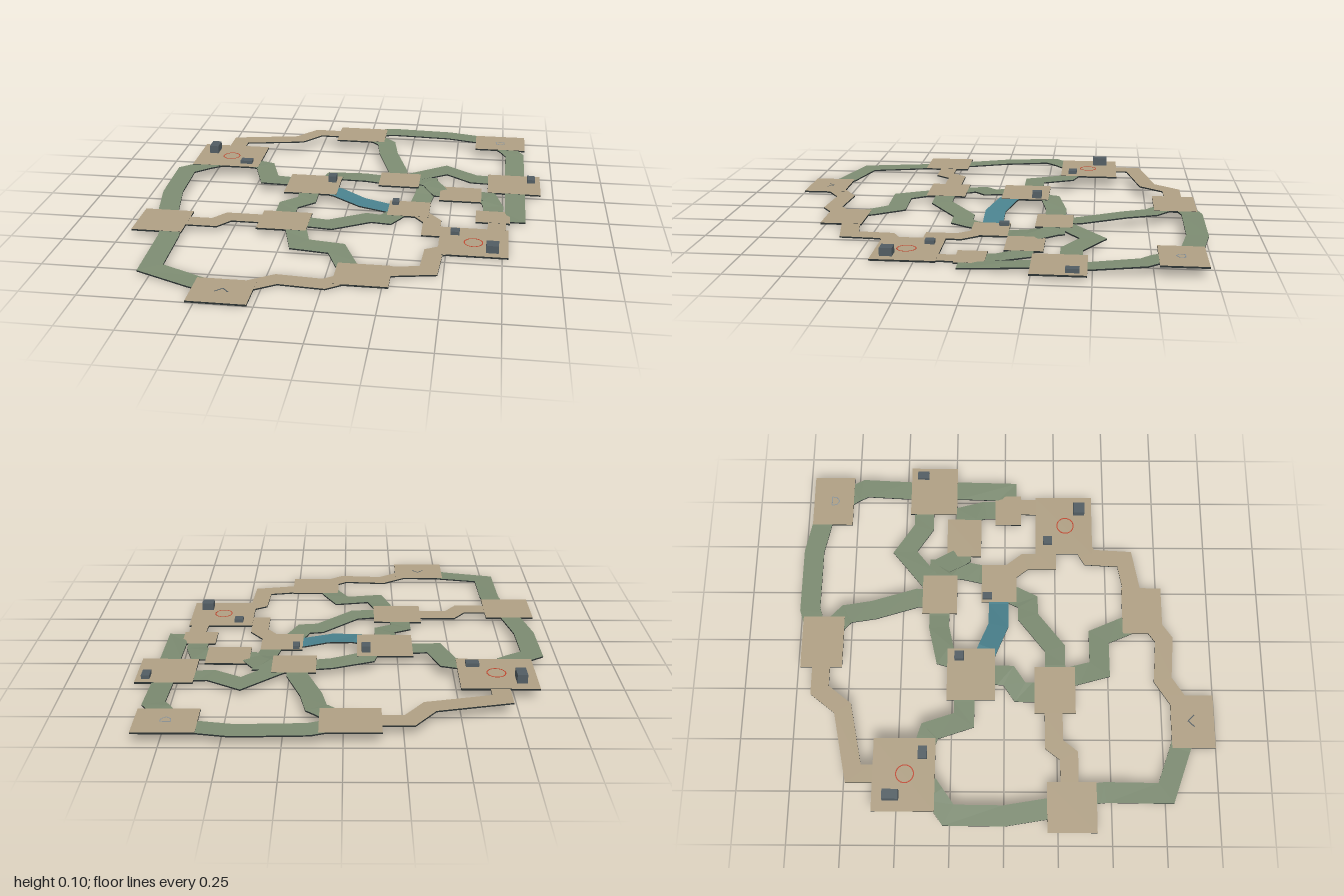
import * as THREE from 'three';

const mat = (name, color) => {
  const m = new THREE.MeshStandardMaterial({ color });
  m.name = name;
  return m;
};

export function createModel() {
  const model = new THREE.Group();
  const tan = mat('sand floor', 0xb0a084);
  const green = mat('ramp green', 0x7d8c72);
  const teal = mat('water teal', 0x4a828e);
  const trim = mat('dark edge', 0x2b3232);
  const slate = mat('crate slate', 0x525d63);
  const red = mat('marker red', 0xc0472f);
  const pale = mat('marker grey', 0x8f9698);
  const T = 0.008; // slab thickness
  const clamp = THREE.MathUtils.clamp;

  const add = (name, geometry, material, parent = model) => {
    const mesh = new THREE.Mesh(geometry, material);
    mesh.name = name;
    parent.add(mesh);
    return mesh;
  };

  // Platforms: x0, x1, z0, z1, top height
  const rooms = {};
  function platform(name, x0, x1, z0, z1, y) {
    rooms[name] = { x0, x1, z0, z1, y };
    const g = new THREE.BoxGeometry(x1 - x0, T, z1 - z0);
    g.translate((x0 + x1) / 2, y - T / 2, (z0 + z1) / 2);
    add(name + 'Platform', g, [trim, trim, tan, tan, trim, trim]);
  }
  platform('back', -0.16, 0.1, -0.98, -0.78, 0.062);
  platform('backCorner', 0.6, 0.865, -0.97, -0.77, 0.053);
  platform('siteWest', -0.855, -0.51, -0.61, -0.32, 0.065);
  platform('midWest', -0.32, -0.06, -0.275, -0.045, 0.056);
  platform('midNorth', 0.127, 0.33, -0.405, -0.235, 0.037);
  platform('east', 0.675, 0.937, -0.48, -0.245, 0.024);
  platform('midEast', 0.44, 0.645, -0.29, -0.12, 0.024);
  platform('center', 0.2, 0.4, -0.115, 0.058, 0.01);
  platform('eastLink', 0.623, 0.785, -0.05, 0.08, 0.01);
  platform('siteEast', 0.463, 0.778, 0.155, 0.44, 0.01);
  platform('west', -0.945, -0.71, 0.2, 0.43, 0.038);
  platform('midSouth', -0.38, -0.147, 0.145, 0.34, 0.038);
  platform('south', 0.037, 0.278, 0.58, 0.775, 0.009);
  platform('front', -0.537, -0.278, 0.795, 1.0, 0.009);

  // Mitred ribbon slab along a path; level inside both platforms, sloped between
  function ribbon(path, yA, yB, width) {
    const level = 0.07;
    const seg = path.slice(1).map((p, i) => p.distanceTo(path[i]));
    const total = seg.reduce((a, b) => a + b, 0);
    const pts = [];
    let run = 0;
    path.forEach((p, i) => {
      pts.push({ p, run });
      if (i === seg.length) return;
      for (const d of [level, total - level]) {
        const f = (d - run) / seg[i];
        if (f > 0.02 && f < 0.98) pts.push({ p: p.clone().lerp(path[i + 1], f), run: d });
      }
      run += seg[i];
    });
    const last = pts.length - 1;
    const normal = (a, b) => new THREE.Vector2(b.p.y - a.p.y, a.p.x - b.p.x).normalize();
    const sections = pts.map(({ p, run: along }, i) => {
      const n0 = normal(pts[Math.max(i - 1, 0)], pts[Math.max(i, 1)]);
      const n1 = normal(pts[Math.min(i, last - 1)], pts[Math.min(i + 1, last)]);
      const m = n0.clone().add(n1).normalize();
      m.multiplyScalar(width / 2 / Math.max(m.dot(n1), 0.7));
      const t = clamp((along - level) / (total - 2 * level), 0, 1);
      const y = yA + (yB - yA) * t - 0.0006;
      const low = y - T + 0.0012;
      const at = (s, h) => [p.x + m.x * s, h, p.y + m.y * s];
      return [at(-1, y), at(1, y), at(1, low), at(-1, low)];
    });
    const pos = [];
    const quad = (a, b, c, d) => pos.push(...a, ...b, ...c, ...a, ...c, ...d);
    const sweep = (k) => {
      const j = (k + 1) % 4;
      for (let i = 0; i < last; i++) {
        quad(sections[i][k], sections[i + 1][k], sections[i + 1][j], sections[i][j]);
      }
    };
    sweep(0);
    sweep(2);
    const split = pos.length / 3;
    sweep(1);
    sweep(3);
    quad(...sections[0]);
    quad(...sections[last].slice().reverse());
    const g = new THREE.BufferGeometry();
    g.setAttribute('position', new THREE.Float32BufferAttribute(pos, 3));
    g.addGroup(0, split, 0);
    g.addGroup(split, pos.length / 3 - split, 1);
    g.computeVertexNormals();
    return g;
  }

  // A path runs through its bends (x, z) and ends just inside each platform
  function connect(a, b, surface, ...bends) {
    const [A, B] = [rooms[a], rooms[b]];
    const line = bends.map(([x, z]) => new THREE.Vector2(x, z));
    const inside = (r, p) => new THREE.Vector2(
      clamp(p.x, r.x0 + 0.06, r.x1 - 0.06), clamp(p.y, r.z0 + 0.06, r.z1 - 0.06));
    const path = [inside(A, line[0]), ...line, inside(B, line[line.length - 1])];
    const width = surface === tan ? 0.085 : 0.097;
    add(`${a}To${b[0].toUpperCase()}${b.slice(1)}Path`, ribbon(path, A.y, B.y, width), [surface, trim]);
  }
  // Level walkways
  connect('back', 'siteWest', tan, [-0.275, -0.88], [-0.365, -0.765], [-0.68, -0.7]);
  connect('west', 'midSouth', tan, [-0.585, 0.305], [-0.53, 0.235]);
  connect('front', 'south', tan, [-0.2, 0.765], [0.005, 0.78]);
  connect('south', 'siteEast', tan, [0.435, 0.6], [0.445, 0.425]);
  connect('siteEast', 'center', tan, [0.42, 0.215], [0.42, 0.1]);
  connect('eastLink', 'siteEast', tan, [0.725, 0.12]);
  // Outer ramps
  connect('back', 'backCorner', green, [0.14, -0.952], [0.45, -0.952]);
  connect('back', 'midNorth', green, [0.115, -0.77], [0.14, -0.64], [0.21, -0.43]);
  connect('backCorner', 'east', green, [0.76, -0.79], [0.81, -0.71]);
  connect('siteWest', 'midWest', green, [-0.475, -0.35], [-0.42, -0.19]);
  connect('siteWest', 'west', green, [-0.75, -0.34], [-0.87, -0.255], [-0.87, 0], [-0.835, 0.2]);
  connect('west', 'front', green, [-0.757, 0.47], [-0.757, 0.755]);
  // Inner ramps
  connect('midWest', 'midSouth', green, [-0.195, 0.02], [-0.275, 0.075]);
  connect('midWest', 'midNorth', green, [-0.1, -0.285], [0.055, -0.32]);
  connect('midSouth', 'center', green, [-0.05, 0.245], [0.12, 0.115], [0.2, 0.115]);
  connect('midSouth', 'south', green, [-0.155, 0.46], [0.015, 0.46]);
  connect('midEast', 'eastLink', green, [0.675, -0.2], [0.705, -0.1]);
  connect('east', 'eastLink', green, [0.81, 0.01]);
  connect('midNorth', 'east', green, [0.46, -0.5], [0.6, -0.41]);
  connect('midNorth', 'center', green, [0.37, -0.325], [0.365, -0.2]);
  connect('midNorth', 'midEast', green, [0.38, -0.32], [0.44, -0.22]);
  // Water channel
  connect('midWest', 'center', teal, [0.07, -0.03]);

  // Crates: x, z, width, depth, top height; they reach through the slab
  function crate(room, x, z, w, d, top) {
    const low = Math.max(rooms[room].y - T - 0.001, 0);
    add(room + 'Crate', new THREE.BoxGeometry(w, top - low, d), slate)
      .position.set(x, (top + low) / 2, z);
  }
  crate('siteWest', -0.782, -0.522, 0.046, 0.075, 0.105);
  crate('siteWest', -0.58, -0.38, 0.06, 0.042, 0.081);
  crate('midWest', -0.102, -0.218, 0.04, 0.045, 0.088);
  crate('center', 0.23, -0.087, 0.032, 0.046, 0.027);
  crate('east', 0.892, -0.42, 0.038, 0.058, 0.042);
  crate('siteEast', 0.533, 0.215, 0.042, 0.044, 0.027);
  crate('siteEast', 0.706, 0.375, 0.057, 0.056, 0.046);

  // Site rings, set through the slab
  function ring(room, x, z) {
    const shape = new THREE.Shape().absarc(0, 0, 0.044, 0, Math.PI * 2);
    shape.holes.push(new THREE.Path().absarc(0, 0, 0.039, 0, Math.PI * 2, true));
    const g = new THREE.ExtrudeGeometry(shape, { depth: 0.0096, bevelEnabled: false, curveSegments: 32 });
    g.rotateX(-Math.PI / 2);
    add(room + 'Ring', g, red).position.set(x, rooms[room].y - T - 0.0008, z);
  }
  ring('siteWest', -0.68, -0.46);
  ring('siteEast', 0.62, 0.305);

  // Line markers made of thin bars
  function lineMark(name, room, material, ...points) {
    const group = new THREE.Group();
    group.name = name;
    points.slice(1).forEach(([x, z], i) => {
      const [px, pz] = points[i];
      const length = Math.hypot(x - px, z - pz);
      const bar = add('markerBar', new THREE.BoxGeometry(length, 0.0096, 0.005), material, group);
      bar.position.set((x + px) / 2, rooms[room].y - T / 2, (z + pz) / 2);
      bar.rotation.y = -Math.atan2(z - pz, x - px);
    });
    model.add(group);
  }
  lineMark('arrowMark', 'front', slate, [-0.434, 0.906], [-0.405, 0.876], [-0.376, 0.906]);
  lineMark('shieldMark', 'backCorner', pale, [0.71, -0.88], [0.756, -0.88], [0.752, -0.855],
    [0.733, -0.842], [0.714, -0.855], [0.71, -0.88]);

  return model;
}
